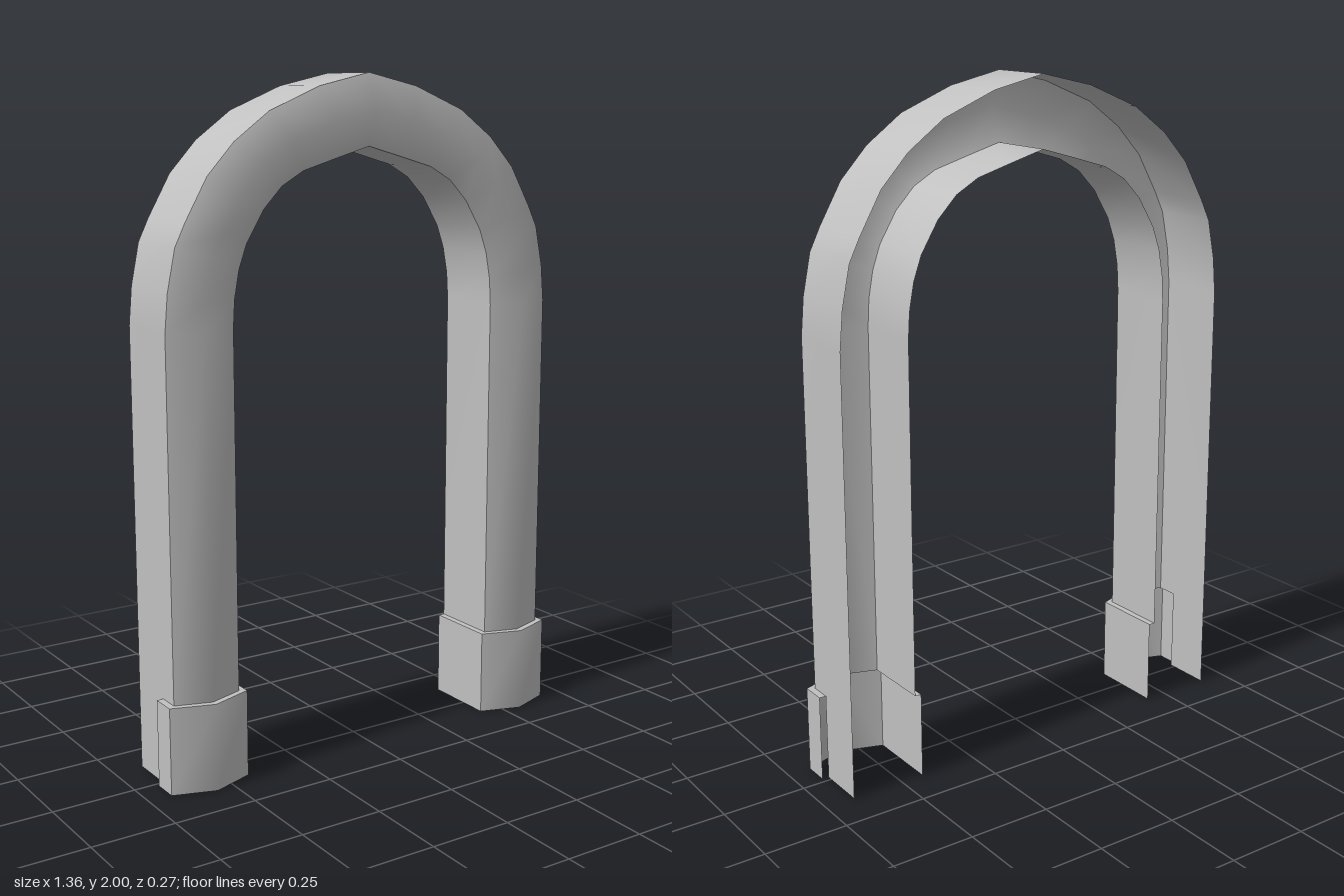
import * as THREE from 'three';

const BACK = -0.135, SLEEVE_TOP = 0.26, SLEEVE_BACK = 0.015;

// Half outline of the arch, from foot to apex: [outer x, outer y, inner x, inner y]
const HALF = [
  [0.66, SLEEVE_TOP, 0.45, SLEEVE_TOP],
  [0.66, 1.31, 0.45, 1.31],
  [0.65, 1.42, 0.445, 1.39],
  [0.625, 1.54, 0.43, 1.47],
  [0.593, 1.605, 0.405, 1.54],
  [0.524, 1.725, 0.35, 1.63],
  [0.44, 1.815, 0.29, 1.692],
  [0.328, 1.896, 0.22, 1.732],
  [0.164, 1.963, 0.11, 1.764],
  [0, 2.0, 0, 1.795],
];

// Smooth sheet through rows of points
function sheet(rows) {
  const n = rows[0].length, index = [];
  for (let i = 0; i < rows.length - 1; i++) {
    for (let j = 0; j < n - 1; j++) {
      const a = i * n + j, b = a + 1, d = a + n, c = d + 1;
      index.push(a, d, b, b, d, c);
    }
  }
  const g = new THREE.BufferGeometry();
  g.setAttribute('position', new THREE.Float32BufferAttribute(rows.flat(2), 3));
  g.setIndex(index);
  g.computeVertexNormals();
  return g;
}

export function createModel() {
  const model = new THREE.Group();
  model.name = 'archTrim';
  const grey = new THREE.MeshStandardMaterial({ color: 0xc0c0c0, side: THREE.DoubleSide });
  grey.name = 'plain grey';

  const add = (parent, name, rows) => {
    const mesh = new THREE.Mesh(sheet(rows), grey);
    mesh.name = name;
    parent.add(mesh);
  };
  // Open channel split at its sharp edges: outer wall, ridged front, inner wall
  const channel = (parent, name, rows) => {
    add(parent, name + 'OuterWall', rows.map(r => r.slice(0, 2)));
    add(parent, name + 'Front', rows.map(r => r.slice(1, 4)));
    add(parent, name + 'InnerWall', rows.map(r => r.slice(3, 5)));
  };

  // Arch, open at the back
  const path = [...HALF, ...HALF.slice(0, -1).reverse().map(([a, b, c, d]) => [-a, b, -c, d])];
  const arch = new THREE.Group();
  arch.name = 'arch';
  channel(arch, 'arch', path.map(([ox, oy, ix, iy]) => [
    [ox, oy, BACK], [ox, oy, 0.08],
    [(ox + ix) / 2, (oy + iy) / 2, 0.115],
    [ix, iy, 0.08], [ix, iy, BACK],
  ]));
  model.add(arch);

  // Feet: sleeve, its top lip and the outer wall carried to the floor
  const sleeveSection = [[0.68, SLEEVE_BACK], [0.68, 0.092], [0.555, 0.135], [0.43, 0.092], [0.43, BACK]];
  const legSection = [[0.66, SLEEVE_BACK], [0.66, 0.08], [0.555, 0.115], [0.45, 0.08], [0.45, BACK]];
  for (const s of [1, -1]) {
    const foot = new THREE.Group();
    foot.name = s > 0 ? 'leftFoot' : 'rightFoot';
    const at = (section, y) => section.map(([x, z]) => [s * x, y, z]);
    const order = rows => (s > 0 ? rows : rows.reverse());
    channel(foot, 'sleeve', order([at(sleeveSection, 0), at(sleeveSection, SLEEVE_TOP)]));
    add(foot, 'sleeveLip', order([at(sleeveSection, SLEEVE_TOP), at(legSection, SLEEVE_TOP)]));
    const wall = [[0.66, BACK], [0.66, SLEEVE_BACK]];
    add(foot, 'lowerOuterWall', order([at(wall, 0), at(wall, SLEEVE_TOP)]));
    model.add(foot);
  }
  return model;
}
